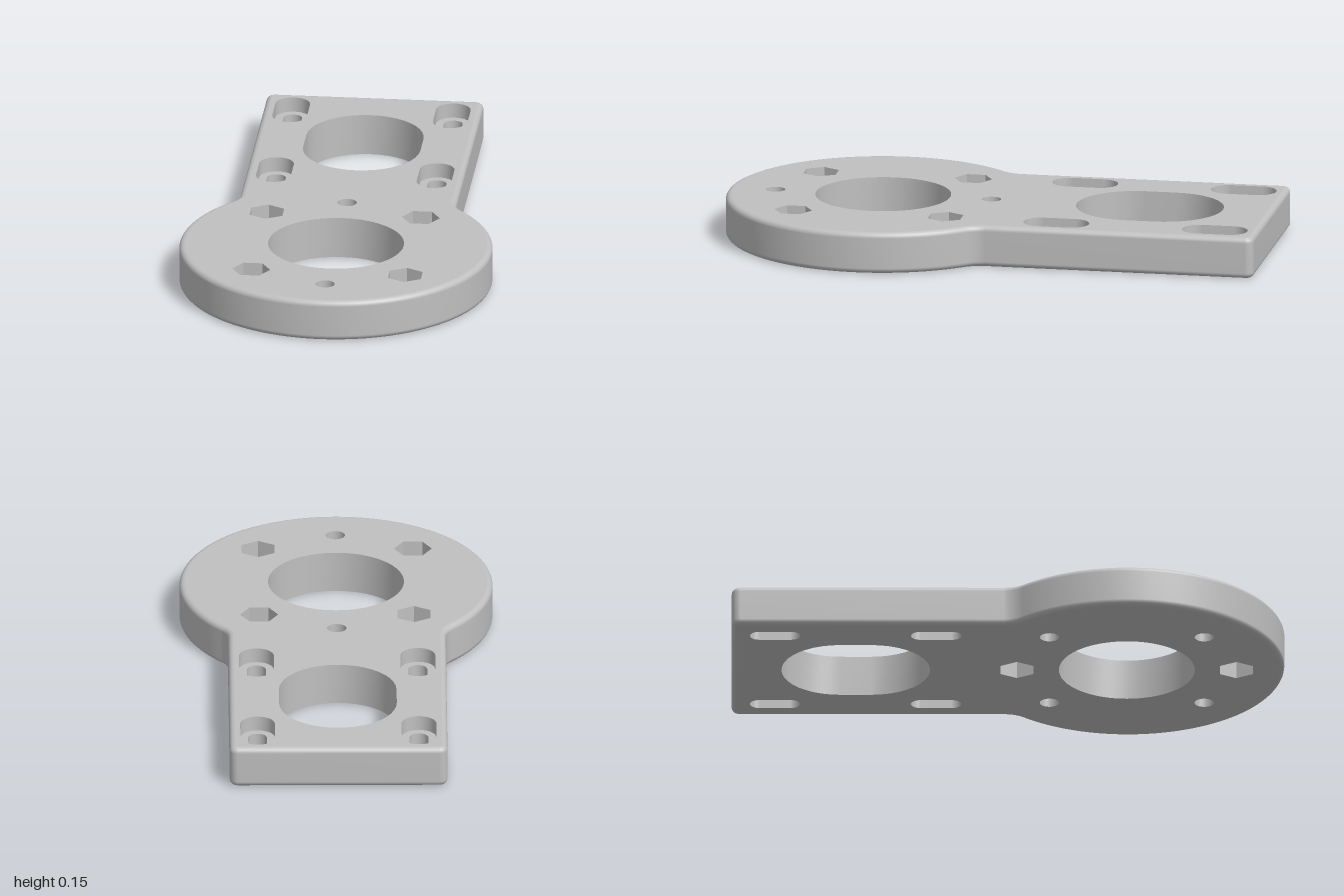
import * as THREE from 'three';

const H = 0.152, BEVEL = 0.02;                 // plate thickness, edge rounding
const R = 0.567, ZC = 0.433;                   // round head
const W = 0.394, CORNER = 0.03, FILLET = 0.1;  // arm half width, corners, neck blend

// All loops are [x, z] points running from +x towards +z
function arc(cx, cz, r, a0, a1, n) {
  return Array.from({ length: n + 1 }, (_, i) => {
    const a = a0 + (a1 - a0) * i / n;
    return [cx + r * Math.cos(a), cz + r * Math.sin(a)];
  });
}
const circle = (x, z, r, n = 32, turn = 0) => arc(x, z, r, turn, turn + Math.PI * 2, n).slice(0, -1);
const slot = (x, z, r, half) => [
  ...arc(x, z + half, r, 0, Math.PI, 20),
  ...arc(x, z - half, r, Math.PI, Math.PI * 2, 20),
];

// Plate outline, moved inwards by d
function outline(d) {
  const fx = W + FILLET;
  const dz = Math.sqrt((R + FILLET) ** 2 - fx ** 2);
  const fz = ZC - dz, phi = Math.atan2(dz, fx), P = Math.PI;
  return [
    ...arc(0, ZC, R - d, -phi, P + phi, 96).slice(1, -1),
    ...arc(-fx, fz, FILLET + d, phi, 0, 8),
    ...arc(-W + CORNER, -1 + CORNER, CORNER - d, P, P * 1.5, 6),
    ...arc(W - CORNER, -1 + CORNER, CORNER - d, P * 1.5, P * 2, 6),
    ...arc(fx, fz, FILLET + d, P, P - phi, 8),
  ];
}

// Flat horizontal face with holes, seen from above or below
function face(outer, holes, y, up) {
  const s = up ? -1 : 1;
  const pts = loop => loop.map(([x, z]) => new THREE.Vector2(x, z * s));
  const shape = new THREE.Shape(pts(outer));
  shape.holes = holes.map(h => new THREE.Path(pts(h)));
  return new THREE.ShapeGeometry(shape).rotateX(s * Math.PI / 2).translate(0, y, 0);
}

// Wall through stacked rings [loop, y] from low to high
function wall(rings, outward, flat = false) {
  const n = rings[0][0].length, pos = [], idx = [];
  for (const [loop, y] of rings) for (const [x, z] of loop) pos.push(x, y, z);
  for (let k = 0; k < rings.length - 1; k++) {
    for (let i = 0; i < n; i++) {
      const a = k * n + i, b = k * n + (i + 1) % n, c = b + n, d = a + n;
      if (outward) idx.push(a, c, b, a, d, c);
      else idx.push(a, b, c, a, c, d);
    }
  }
  let g = new THREE.BufferGeometry();
  g.setAttribute('position', new THREE.Float32BufferAttribute(pos, 3));
  g.setIndex(idx);
  if (flat) g = g.toNonIndexed();
  g.computeVertexNormals();
  return g;
}

export function createModel() {
  const model = new THREE.Group();
  model.name = 'mountingPlate';
  const grey = new THREE.MeshStandardMaterial({ color: 0xc0c0c0 });
  grey.name = 'plate grey';
  const add = (name, geometry) => {
    const mesh = new THREE.Mesh(geometry, grey);
    mesh.name = name;
    model.add(mesh);
  };
  const topHoles = [], bottomHoles = [];

  // Plain through openings
  const through = (name, loop) => {
    topHoles.push(loop);
    bottomHoles.push(loop);
    add(name, wall([[loop, 0], [loop, H]], false));
  };
  through('headBore', circle(0, 0.43, 0.246, 64));
  through('armOpening', slot(0, -0.551, 0.213, 0.056));

  // Through hole with a wider pocket sunk from the top or bottom
  const pocketed = (name, hole, pocket, depth, up, flat) => {
    const floor = up ? H - depth : depth;
    (up ? topHoles : bottomHoles).push(pocket);
    (up ? bottomHoles : topHoles).push(hole);
    add(name + 'Bore', wall(up ? [[hole, 0], [hole, floor]] : [[hole, floor], [hole, H]], false));
    add(name + 'Pocket', wall(up ? [[pocket, floor], [pocket, H]] : [[pocket, 0], [pocket, floor]], false, flat));
    add(name + 'Seat', face(pocket, [hole], floor, up));
  };

  // Adjustment slots in the arm
  for (const x of [-0.292, 0.292])
    for (const z of [-0.843, -0.26])
      pocketed('armSlot', slot(x, z, 0.034, 0.057), slot(x, z, 0.063, 0.057), 0.055, true, false);

  // Nut pockets on top, each a quarter turn from the next
  for (const sx of [-1, 1])
    for (const sz of [-1, 1]) {
      const x = sx * 0.28, z = 0.43 + sz * 0.28;
      const turn = sx * sz > 0 ? Math.PI / 2 : 0;
      pocketed('topNut', circle(x, z, 0.035), circle(x, z, 0.069, 6, turn), 0.075, true, true);
    }

  // Nut pockets underneath on the centre line
  for (const z of [0.032, 0.826])
    pocketed('bottomNut', circle(0, z, 0.035), circle(0, z, 0.069, 6), 0.075, false, true);

  // Rounded rim
  const rings = [], steps = 5;
  for (let i = 0; i <= steps; i++) {
    const a = i / steps * Math.PI / 2;
    rings.push([outline(BEVEL * (1 - Math.sin(a))), BEVEL * (1 - Math.cos(a))]);
  }
  for (const [loop, y] of [...rings].reverse()) rings.push([loop, H - y]);
  add('rim', wall(rings, true));

  // Upper and lower faces
  add('topFace', face(outline(BEVEL), topHoles, H, true));
  add('bottomFace', face(outline(BEVEL), bottomHoles, 0, false));
  return model;
}
